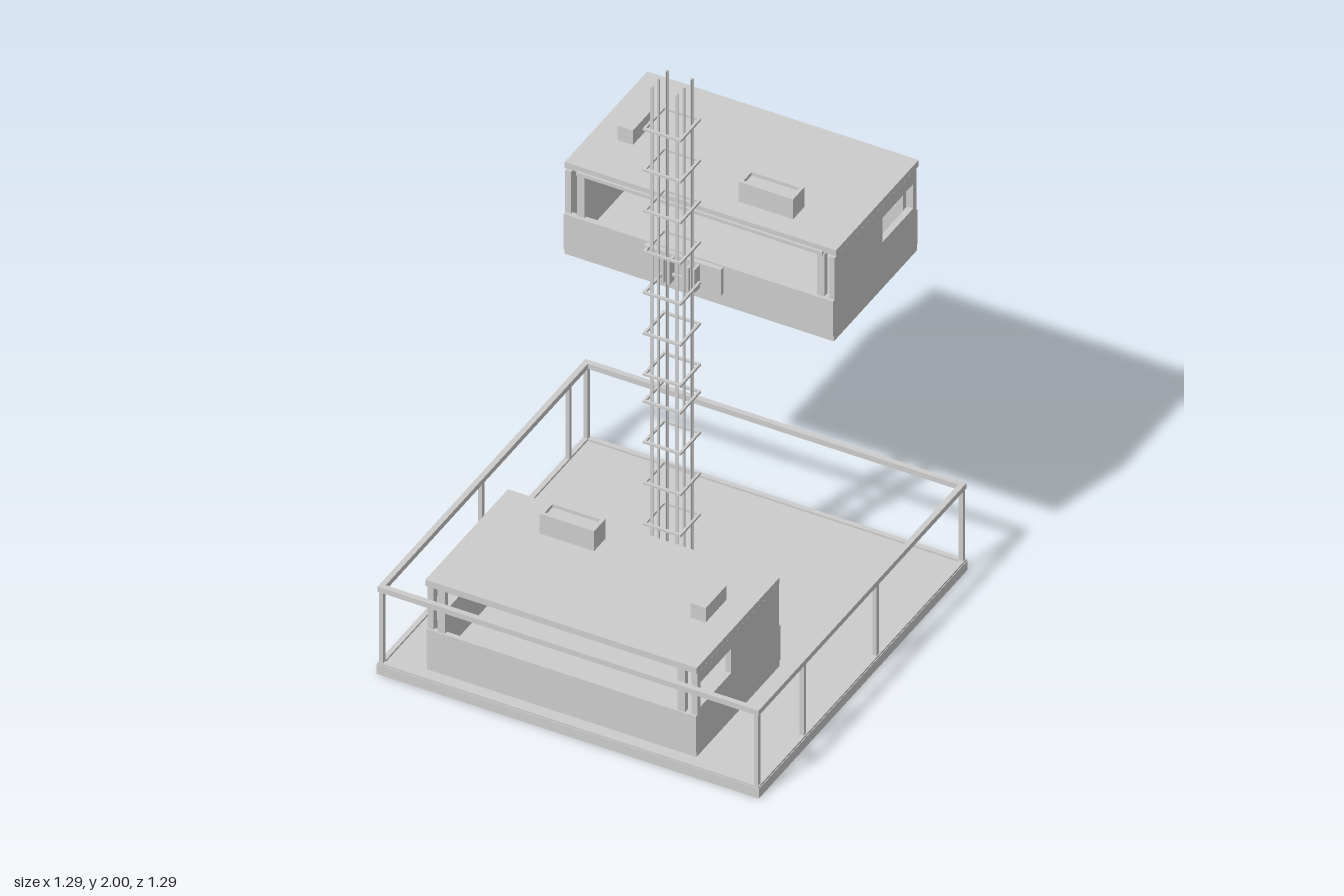
import * as THREE from 'three';

const grey = new THREE.MeshStandardMaterial({ color: 0xcccccc, flatShading: true });

// Box given by its limits on each axis
function block(parent, name, [x0, x1], [y0, y1], [z0, z1]) {
  const mesh = new THREE.Mesh(new THREE.BoxGeometry(x1 - x0, y1 - y0, z1 - z0), grey);
  mesh.position.set((x0 + x1) / 2, (y0 + y1) / 2, (z0 + z1) / 2);
  mesh.name = name;
  parent.add(mesh);
  return mesh;
}

// Open-topped tray: four rims round a lower lid
function tray(parent, name, [x0, x1], [y0, y1], [z0, z1], rim) {
  const g = new THREE.Group();
  g.name = name;
  block(g, 'lid', [x0 + rim, x1 - rim], [y0, y1 - 0.012], [z0 + rim, z1 - rim]);
  block(g, 'rimBack', [x0, x1], [y0, y1], [z0, z0 + rim]);
  block(g, 'rimFront', [x0, x1], [y0, y1], [z1 - rim, z1]);
  block(g, 'rimRight', [x0, x0 + rim], [y0, y1], [z0 + rim, z1 - rim]);
  block(g, 'rimLeft', [x1 - rim, x1], [y0, y1], [z0 + rim, z1 - rim]);
  parent.add(g);
}

// Side wall with a window cut near the far end
function sideWall(parent, name, x) {
  const s = new THREE.Shape();
  s.moveTo(0.09, 0.02);
  s.lineTo(0.595, 0.02);
  s.lineTo(0.595, 0.305);
  s.lineTo(0.09, 0.305);
  s.closePath();
  const hole = new THREE.Path();
  hole.moveTo(0.385, 0.17);
  hole.lineTo(0.385, 0.26);
  hole.lineTo(0.575, 0.26);
  hole.lineTo(0.575, 0.17);
  hole.closePath();
  s.holes.push(hole);
  const geo = new THREE.ExtrudeGeometry(s, { depth: 0.02, bevelEnabled: false });
  geo.rotateY(Math.PI / 2); // profile runs towards -z, thickness along +x
  const mesh = new THREE.Mesh(geo, grey);
  mesh.position.x = x;
  mesh.name = name;
  parent.add(mesh);
}

// Cabin standing behind the mast, its mast side at z = -0.085
function createCabin(name) {
  const c = new THREE.Group();
  c.name = name;
  block(c, 'floor', [-0.41, 0.5], [0, 0.02], [-0.6, -0.085]);
  block(c, 'mastSidePanel', [-0.41, 0.5], [0.02, 0.15], [-0.1, -0.08]);
  block(c, 'outerPanel', [-0.41, 0.5], [0.02, 0.15], [-0.602, -0.585]);
  sideWall(c, 'rightWall', -0.41);
  sideWall(c, 'leftWall', 0.48);

  // Window posts beside the long openings
  for (const z of [-0.598, -0.11])
    for (const x of [-0.37, 0.44])
      block(c, 'windowPost', [x, x + 0.025], [0.15, 0.305], [z, z + 0.02]);

  // Roof with its trim and rooftop units
  block(c, 'roofTrim', [-0.37, 0.46], [0.303, 0.315], [-0.595, -0.085]);
  block(c, 'roof', [-0.413, 0.503], [0.31, 0.332], [-0.604, -0.093]);
  tray(c, 'ventUnit', [0.132, 0.317], [0.332, 0.405], [-0.24, -0.168], 0.012);
  block(c, 'smallVent', [-0.328, -0.276], [0.332, 0.385], [-0.392, -0.264]);

  // Bracket and guide shoes holding the mast
  block(c, 'bracketPlate', [-0.13, 0.13], [0.05, 0.145], [-0.082, -0.064]);
  for (const x of [-0.04, 0.045]) {
    block(c, 'guideShoe', [x - 0.014, x - 0.006], [0.055, 0.14], [-0.064, -0.032]);
    block(c, 'guideShoe', [x + 0.006, x + 0.014], [0.055, 0.14], [-0.064, -0.032]);
  }
  return c;
}

function createMast() {
  const mast = new THREE.Group();
  mast.name = 'mast';
  // T-section guide rails at the four corners
  for (const x of [-0.038, 0.046])
    for (const [z, d] of [[-0.04, -1], [0.056, 1]]) {
      block(mast, 'railFlange', [x - 0.005, x + 0.005], [0.03, 2], [z - 0.0015, z + 0.0015]);
      block(mast, 'railWeb', [x - 0.0015, x + 0.0015], [0.03, 2], d > 0 ? [z - 0.009, z] : [z, z + 0.009]);
    }
  // Hoist cables
  for (const x of [-0.04, 0.046]) {
    const cable = new THREE.Mesh(new THREE.CylinderGeometry(0.004, 0.004, 1.97, 8), grey);
    cable.position.set(x, 1.015, 0.01);
    cable.name = 'cable';
    mast.add(cable);
  }
  // Square tie frames in two runs
  const levels = [];
  for (let i = 0; i < 6; i++) levels.push(0.085 + i * 0.151);
  for (let i = 0; i < 7; i++) levels.push(0.94 + i * 0.151);
  const t = 0.004;
  for (const y of levels) {
    const h = [y - t, y + t];
    for (const z of [-0.052, 0.067])
      block(mast, 'tieBar', [-0.06, 0.068], h, [z - t, z + t]);
    for (const x of [-0.056, 0.064])
      block(mast, 'tieBar', [x - t, x + t], h, [-0.052, 0.067]);
  }
  return mast;
}

function createRailing() {
  const r = new THREE.Group();
  r.name = 'railing';
  // Top rail and low curb round the platform
  for (const [y0, y1, w] of [[0.303, 0.322, 0.018], [0.03, 0.042, 0.016]])
    for (const s of [-1, 1]) {
      const a = s * 0.643, b = s * (0.643 - w);
      const span = [Math.min(a, b), Math.max(a, b)];
      block(r, 'rail', [-0.643, 0.643], [y0, y1], span);
      block(r, 'rail', span, [y0, y1], [-0.643 + w, 0.643 - w]);
    }
  // Corner posts, then uneven posts along the two sides
  const posts = [[0.633, 0.35], [0.633, -0.1], [-0.633, -0.52], [-0.633, 0.02]];
  for (const x of [-0.633, 0.633])
    for (const z of [-0.633, 0.633]) posts.push([x, z]);
  for (const [x, z] of posts)
    block(r, 'post', [x - 0.007, x + 0.007], [0.03, 0.31], [z - 0.007, z + 0.007]);
  return r;
}

export function createModel() {
  const model = new THREE.Group();
  model.name = 'cabinLift';
  block(model, 'platform', [-0.645, 0.645], [0, 0.035], [-0.645, 0.645]);
  model.add(createRailing(), createMast());

  const upper = createCabin('upperCabin');
  upper.position.y = 1.16;
  // The lower cabin is the same, turned to the other side of the mast
  const lower = createCabin('lowerCabin');
  lower.rotation.y = Math.PI;
  lower.position.y = 0.04;
  model.add(upper, lower);
  return model;
}
